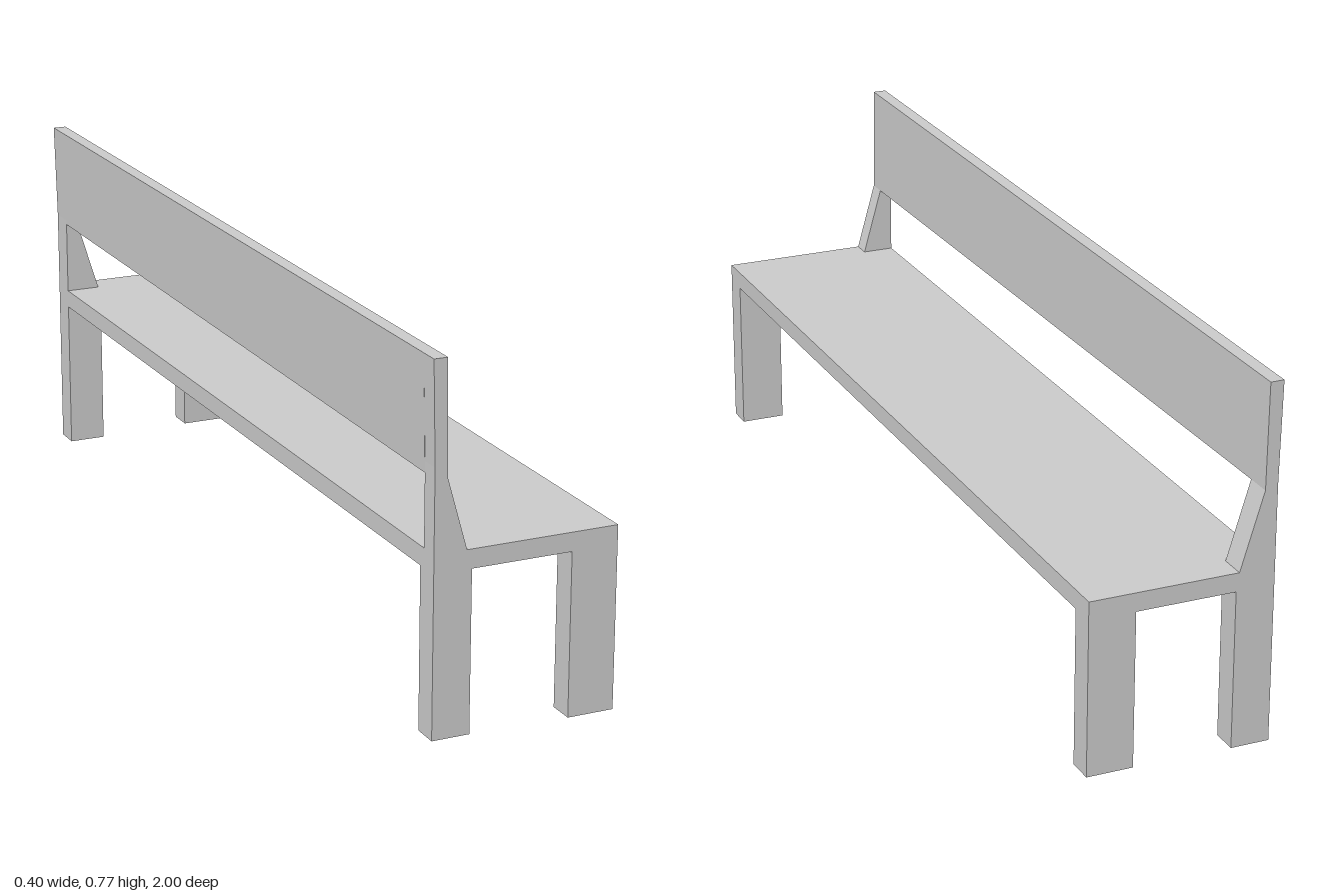
import * as THREE from 'three';

const material = new THREE.MeshStandardMaterial({ color: 0xcccccc, flatShading: true });

// Extrudes an x/y outline from z0 to z1.
function extrude(name, points, z0, z1) {
  const shape = new THREE.Shape(points.map(([x, y]) => new THREE.Vector2(x, y)));
  const geometry = new THREE.ExtrudeGeometry(shape, { depth: z1 - z0, bevelEnabled: false });
  geometry.translate(0, 0, z0);
  const mesh = new THREE.Mesh(geometry, material);
  mesh.name = name;
  return mesh;
}

function rect(x0, x1, y0, y1) {
  return [[x0, y0], [x1, y0], [x1, y1], [x0, y1]];
}

export function createModel() {
  const bench = new THREE.Group();
  bench.name = 'bench';
  const seatBottom = 0.346, seatTop = 0.386, top = 0.773;

  // Long seat plank
  bench.add(extrude('seat', rect(-0.197, 0.2, seatBottom, seatTop), -1, 1));

  // The two ends differ slightly in leg length and post size
  const ends = [
    { side: 'near', legZ: [0.943, 1], postZ: [0.958, 1], frontFoot: 0, rearFoot: 0.005, rearX: -0.116, brace: -0.127, knee: 0.537 },
    { side: 'far', legZ: [-1, -0.942], postZ: [-1, -0.942], frontFoot: 0.01, rearFoot: 0.006, rearX: -0.114, brace: -0.12, knee: 0.55 },
  ];
  for (const e of ends) {
    bench.add(extrude(`${e.side}FrontLeg`, rect(0.1, 0.2, e.frontFoot, seatBottom), ...e.legZ));
    bench.add(extrude(`${e.side}RearLeg`, rect(-0.197, e.rearX, e.rearFoot, seatBottom), ...e.legZ));
    // Post with a sloping brace that rises to the backrest
    bench.add(extrude(`${e.side}BackPost`, [
      [-0.197, seatTop], [e.brace, seatTop], [-0.17, e.knee],
      [-0.173, top], [-0.202, top], [-0.197, 0.56],
    ], ...e.postZ));
  }

  // Backrest board, its lower edge rising slightly toward the far end
  const [near, far] = ends;
  const board = extrude('backrest', [
    [-0.197, near.knee], [-0.17, near.knee], [-0.173, top], [-0.202, top],
  ], far.postZ[1], near.postZ[0]);
  const p = board.geometry.attributes.position;
  for (let i = 0; i < p.count; i++) {
    if (p.getY(i) < 0.6 && p.getZ(i) < 0) p.setY(i, far.knee);
  }
  board.geometry.computeVertexNormals();
  bench.add(board);

  return bench;
}
